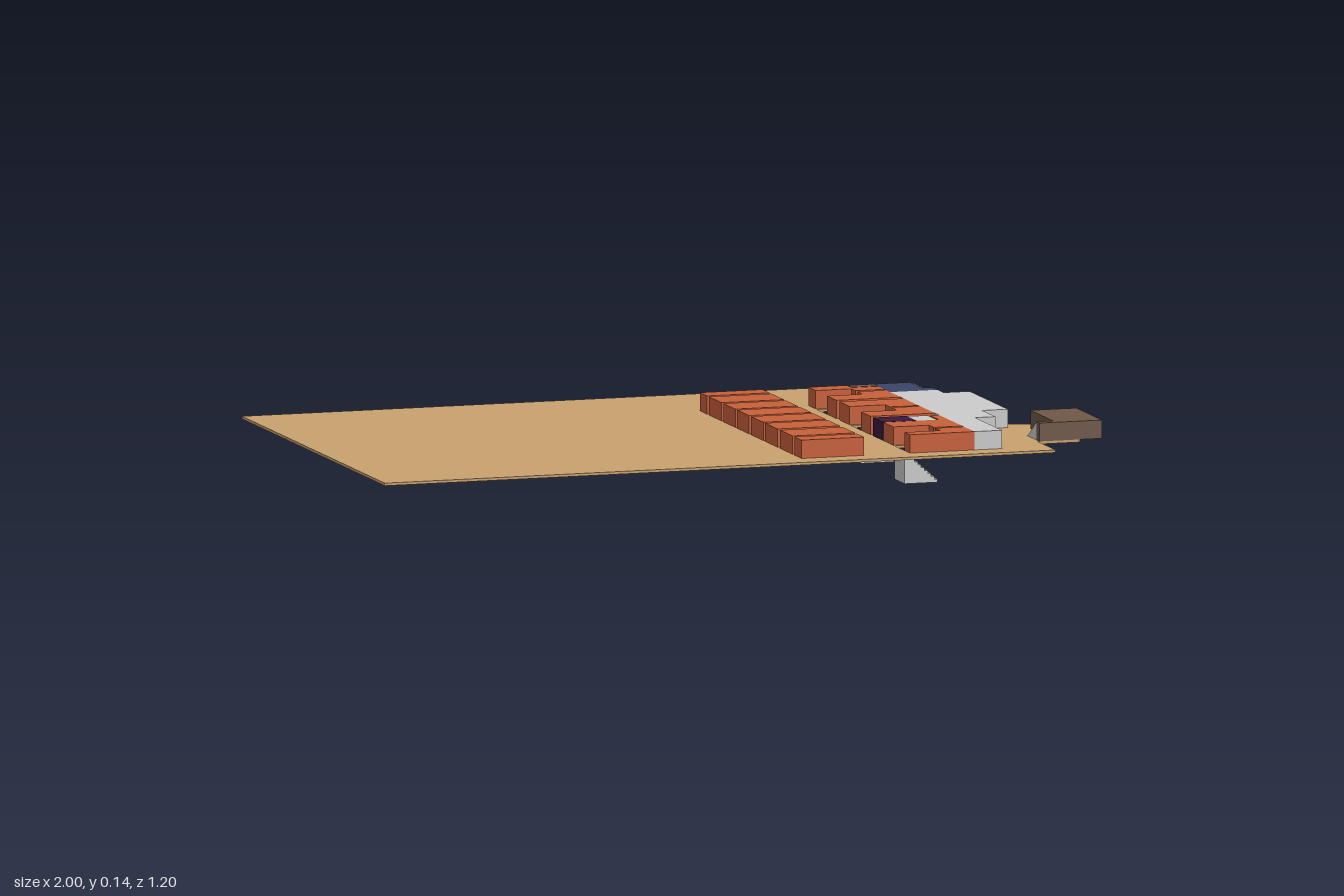
import * as THREE from 'three';

const FLOOR = 0.087, UNDER = 0.08, ROOF = 0.135;
const mat = (color) => new THREE.MeshStandardMaterial({ color, flatShading: true });
const grey = mat(0xcccccc), orange = mat(0xc8603a), sand = mat(0xc8a06e);
const navy = mat(0x3a4468), brown = mat(0x6e5848), purple = mat(0x3a1a3c);

export function createModel() {
  const model = new THREE.Group();

  const add = (name, geometry, material) => {
    const mesh = new THREE.Mesh(geometry, material);
    mesh.name = name;
    model.add(mesh);
  };

  // Floor plan outline of [x, z] corners raised from y0 to y1
  const plan = (points) => points.map(([x, z]) => new THREE.Vector2(x, -z));
  const raise = (shape, y0, y1) => {
    const g = new THREE.ExtrudeGeometry(shape, { depth: y1 - y0, bevelEnabled: false, curveSegments: 16 });
    return g.rotateX(-Math.PI / 2).translate(0, y0, 0);
  };
  const block = (name, points, material) => add(name, raise(new THREE.Shape(plan(points)), FLOOR, ROOF), material);
  const rect = (x0, x1, z0, z1) => [[x0, z0], [x0, z1], [x1, z1], [x1, z0]];

  // Ground slab with openings for the stairwells
  const stairs = [[-0.25, -0.165], [0.035, 0.12], [0.4, 0.485]];
  const ground = new THREE.Shape(plan(rect(-1, 0.825, -0.6, 0.595)));
  for (const [z0, z1] of stairs) ground.holes.push(new THREE.Path(plan(rect(0.45, 0.54, z0, z1))));
  add('ground', raise(ground, UNDER, FLOOR), sand);

  // Rounded landing beside the ground slab
  const landing = new THREE.Shape();
  landing.moveTo(0.825, -0.445);
  landing.lineTo(0.94, -0.445);
  landing.lineTo(0.94, -0.24);
  landing.quadraticCurveTo(0.93, -0.14, 0.825, -0.14);
  add('landing', raise(landing, UNDER, FLOOR), sand);

  // Stairs going down through the slab
  const steps = 10, run = 0.09 / steps, rise = UNDER / steps;
  for (const [z0, z1] of stairs) {
    const profile = new THREE.Shape();
    profile.moveTo(0.45, 0);
    profile.lineTo(0.54, 0);
    for (let i = 0; i < steps; i++) {
      profile.lineTo(0.54 - i * run, (i + 1) * rise);
      profile.lineTo(0.54 - (i + 1) * run, (i + 1) * rise);
    }
    const g = new THREE.ExtrudeGeometry(profile, { depth: z1 - z0, bevelEnabled: false });
    add('stair', g.translate(0, 0, z0), grey);
  }

  // Outer row of rooms
  const row = [[-0.32, -0.26], [-0.245, -0.14], [-0.125, -0.025], [-0.01, 0.09],
    [0.105, 0.21], [0.225, 0.33], [0.35, 0.455], [0.47, 0.53]];
  for (const [z0, z1] of row) block('rowRoom', rect(0.155, 0.325, z0, z1), orange);

  // Inner rooms wrapping the stairwells
  const L = 0.45, M = 0.547, R = 0.625;
  const inner = [
    [[L, -0.32], [L, -0.26], [M, -0.26], [M, -0.225], [R, -0.225], [R, -0.28], [0.555, -0.28], [0.555, -0.32]],
    [[L, -0.165], [L, -0.085], [R, -0.085], [R, -0.21], [M, -0.21], [M, -0.165]],
    [[L, -0.062], [L, 0.025], [M, 0.025], [M, 0.063], [R, 0.063], [R, -0.062]],
    [[L, 0.12], [L, 0.2], [R, 0.2], [R, 0.075], [M, 0.075], [M, 0.12]],
    [[L, 0.308], [L, 0.39], [M, 0.39], [M, 0.43], [R, 0.43], [R, 0.235], [0.6, 0.235], [0.6, 0.308]],
    [[L, 0.485], [L, 0.53], [R, 0.53], [R, 0.442], [M, 0.442], [M, 0.485]],
  ];
  for (const points of inner) block('innerRoom', points, orange);

  // Service rooms
  block('purpleRoom', rect(L, 0.54, 0.222, 0.305), purple);
  block('smallGreyRoom', rect(0.54, 0.595, 0.23, 0.308), grey);
  block('smallBrownRoom', rect(0.557, R, -0.32, -0.285), brown);

  // Large hall and the corner room at its end
  block('hall', [[R, -0.175], [R, 0.53], [0.7, 0.53], [0.7, 0.305], [0.755, 0.305], [0.755, 0.195],
    [0.825, 0.195], [0.825, -0.125], [0.755, -0.125], [0.755, -0.175]], grey);
  block('cornerRoom', [[R, -0.32], [R, -0.175], [0.755, -0.175], [0.755, -0.22], [0.725, -0.22], [0.725, -0.32]], navy);

  // Raised platform with a ramp up to its front arm
  block('platform', [[0.875, 0.23], [0.875, 0.42], [0.83, 0.42], [0.83, 0.445], [1, 0.445], [1, 0.23]], brown);
  const wedge = new THREE.Shape([[-0.345, FLOOR], [-0.42, FLOOR], [-0.42, ROOF]].map(([a, b]) => new THREE.Vector2(a, b)));
  const ramp = new THREE.ExtrudeGeometry(wedge, { depth: 0.045, bevelEnabled: false });
  add('ramp', ramp.rotateY(Math.PI / 2).translate(0.83, 0, 0), grey);

  return model;
}
